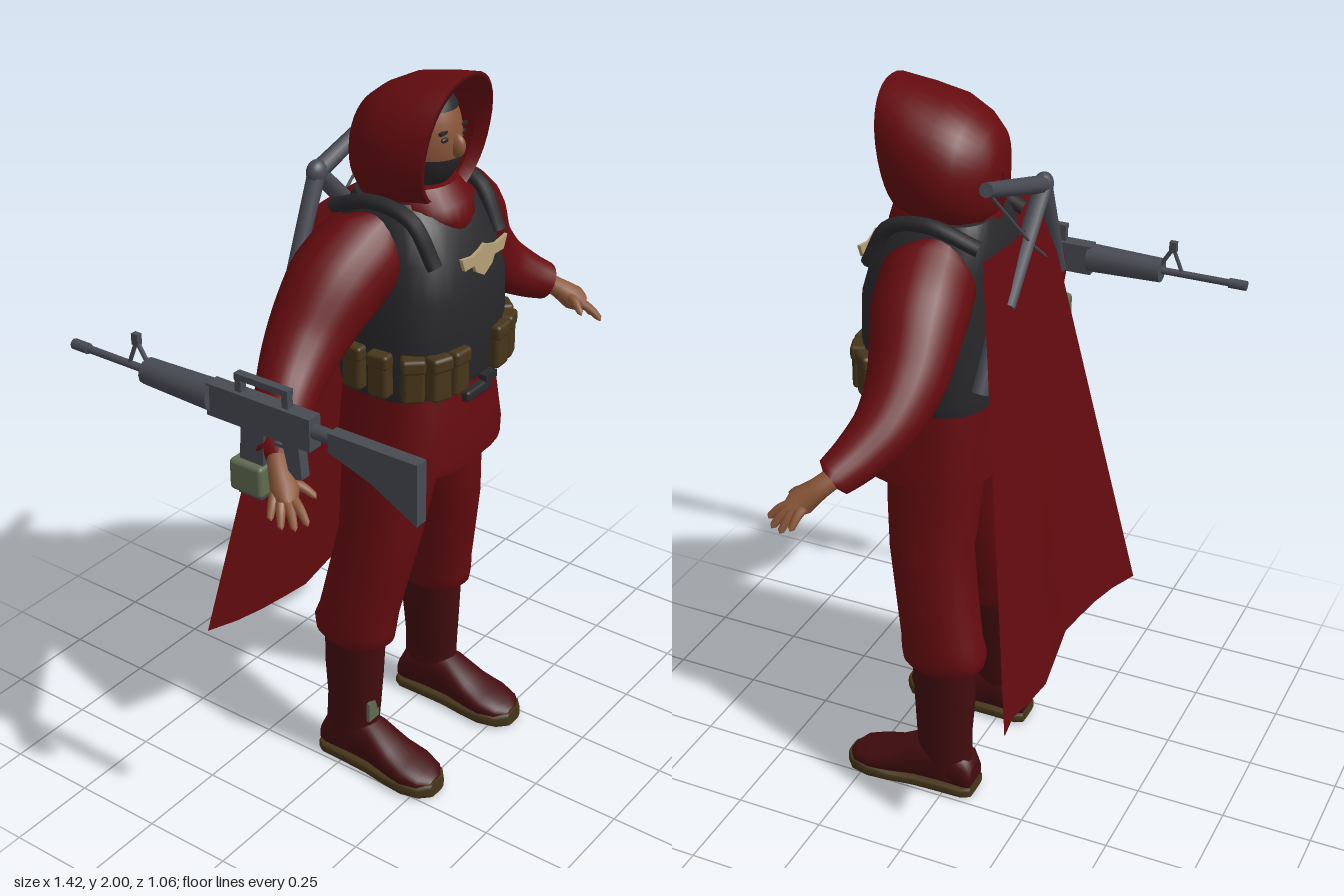
import * as THREE from 'three';
import { RoundedBoxGeometry } from 'three/addons/geometries/RoundedBoxGeometry.js';

const mat = (name, color, side = THREE.FrontSide) => {
  const m = new THREE.MeshStandardMaterial({ color, side });
  m.name = name;
  return m;
};
const red = mat('red cloth', 0x640b0f, THREE.DoubleSide);
const bootRed = mat('dark red leather', 0x420c0f);
const black = mat('black fabric', 0x28282b);
const steel = mat('gun steel', 0x484a53);
const skin = mat('skin', 0x8a5639);
const cream = mat('cream plate', 0xb5a078);
const brown = mat('brown canvas', 0x46351a);
const green = mat('olive green', 0x5f6b50);

// Smooth skin over stacked rounded rings [y, x0, x1, z0, z1]; p < 1 makes them boxier
function loft(rings, { n = 28, p = 0.8, caps = true } = {}) {
  const dot = ([y, a, b, c, d]) => [y, (a + b) / 2, (a + b) / 2, (c + d) / 2, (c + d) / 2];
  const last = rings[rings.length - 1];
  const all = caps ? [dot(rings[0]), rings[0], ...rings, last, dot(last)] : rings;
  const pos = [], idx = [];
  const pw = (v) => Math.sign(v) * Math.abs(v) ** p;
  all.forEach(([y, x0, x1, z0, z1], i) => {
    for (let j = 0; j < n; j++) {
      const a = (j / n) * Math.PI * 2;
      pos.push((x0 + x1) / 2 + pw(Math.cos(a)) * Math.abs(x1 - x0) / 2, y,
        (z0 + z1) / 2 + pw(Math.sin(a)) * Math.abs(z1 - z0) / 2);
      if (i === all.length - 1) continue;
      const q = i * n + j, r = i * n + (j + 1) % n;
      idx.push(q, q + n, r, q + n, r + n, r);
    }
  });
  const g = new THREE.BufferGeometry();
  g.setAttribute('position', new THREE.Float32BufferAttribute(pos, 3));
  g.setIndex(idx);
  g.computeVertexNormals();
  return g;
}

// Same along z: rings [z, x0, x1, yBottom, yTop]
const loftZ = (rings, opt) =>
  loft(rings.map(([z, a, b, lo, hi]) => [z, a, b, -hi, -lo]), opt).rotateX(Math.PI / 2);

// Tube through points [x, y, z, radius]
function limb(pts, seg = 16, sides = 16) {
  const curve = new THREE.CatmullRomCurve3(pts.map((q) => new THREE.Vector3(q[0], q[1], q[2])));
  const g = new THREE.TubeGeometry(curve, seg, 1, sides);
  const P = g.attributes.position, v = new THREE.Vector3();
  for (let i = 0; i <= seg; i++) {
    const c = curve.getPointAt(i / seg);
    const t = curve.getUtoTmapping(i / seg) * (pts.length - 1);
    const k = Math.min(Math.floor(t), pts.length - 2);
    const r = THREE.MathUtils.lerp(pts[k][3], pts[k + 1][3], t - k);
    for (let j = 0; j <= sides; j++) {
      const m = i * (sides + 1) + j;
      v.fromBufferAttribute(P, m).sub(c).multiplyScalar(r).add(c);
      P.setXYZ(m, v.x, v.y, v.z);
    }
  }
  return g;
}

const box = (w, h, d, x, y, z) => new THREE.BoxGeometry(w, h, d).translate(x, y, z);
const ball = (rx, ry, rz, x, y, z, t0 = 0, t1 = Math.PI) =>
  new THREE.SphereGeometry(1, 28, 18, 0, Math.PI * 2, t0, t1 - t0).scale(rx, ry, rz).translate(x, y, z);
// Straight bar between two points
function bar(a, b, r, sides = 8, r2 = r) {
  const A = new THREE.Vector3(...a), B = new THREE.Vector3(...b), d = B.clone().sub(A);
  const g = new THREE.CylinderGeometry(r2, r, d.length(), sides);
  g.applyQuaternion(new THREE.Quaternion().setFromUnitVectors(new THREE.Vector3(0, 1, 0), d.normalize()));
  return g.translate(...A.add(B).multiplyScalar(0.5).toArray());
}
// Outline in (z, y) given a thickness in x
function sidePlate(pts, w, x) {
  const s = new THREE.Shape(pts.map((q) => new THREE.Vector2(...q)));
  return new THREE.ExtrudeGeometry(s, { depth: w, bevelEnabled: false }).rotateY(-Math.PI / 2).translate(x + w / 2, 0, 0);
}

export function createModel() {
  const model = new THREE.Group();
  const add = (name, geo, material, parent = model) => {
    const m = new THREE.Mesh(geo, material);
    m.name = name;
    parent.add(m);
    return m;
  };
  const group = (name) => {
    const g = new THREE.Group();
    g.name = name;
    model.add(g);
    return g;
  };
  const sym = (y, w, z0, z1) => [y, -w, w, z0, z1];

  // Body: tunic, vest and cowl
  add('tunic', loft([sym(0.97, 0.222, -0.08, 0.272), sym(1.02, 0.22, -0.08, 0.275),
    sym(1.12, 0.205, -0.075, 0.265), sym(1.22, 0.195, -0.07, 0.25)], { p: 0.7 }), red);
  add('vest', loft([sym(1.18, 0.2, -0.075, 0.25), sym(1.22, 0.21, -0.08, 0.265), sym(1.35, 0.215, -0.08, 0.28),
    sym(1.46, 0.205, -0.085, 0.28), sym(1.55, 0.19, -0.085, 0.255), sym(1.63, 0.165, -0.08, 0.215),
    sym(1.68, 0.13, -0.06, 0.17)], { p: 0.7 }), black);
  add('cowl', loft([sym(1.6, 0.075, -0.05, 0.225), sym(1.63, 0.105, -0.06, 0.235), sym(1.67, 0.125, -0.065, 0.22),
    sym(1.71, 0.1, -0.05, 0.18)], { p: 0.9 }), red);

  // Pale winged chest plate
  const wing = [[0, 1.495], [0.035, 1.515], [0.045, 1.535], [0.085, 1.535], [0.1, 1.57], [0.05, 1.562], [0.02, 1.57], [0, 1.58]];
  const outline = [...wing, ...wing.slice(1, -1).reverse().map(([x, y]) => [-x, y])];
  add('chestPlate', new THREE.ExtrudeGeometry(new THREE.Shape(outline.map((q) => new THREE.Vector2(...q))),
    { depth: 0.009, bevelEnabled: false }).translate(0, 0, 0.277), cream);

  // Belt pouches and buckle
  const belt = group('belt');
  for (const s of [-1, 1]) {
    [[0.09, 0.27, 0.05], [0.15, 0.257, 0.35], [0.198, 0.213, 0.85], [0.218, 0.13, 1.5], [0.215, 0.05, 1.6]].forEach(([x, z, turn]) => {
      const g = new THREE.Group();
      g.name = 'pouch';
      g.position.set(s * x, 1.262, z);
      g.rotation.y = s * turn;
      add('pouchBody', new RoundedBoxGeometry(0.058, 0.115, 0.045, 2, 0.012), brown, g);
      add('pouchFlap', new RoundedBoxGeometry(0.062, 0.04, 0.052, 2, 0.01).translate(0, 0.045, 0), brown, g);
      belt.add(g);
    });
  }
  add('buckle', new RoundedBoxGeometry(0.11, 0.03, 0.03, 2, 0.008).translate(0.01, 1.165, 0.262), black, belt);
  add('buckleTab', box(0.05, 0.02, 0.03, 0.06, 1.185, 0.262), black, belt);

  // Head
  const head = group('head');
  add('face', ball(0.088, 0.14, 0.1, 0, 1.825, 0.1), skin, head);
  add('hair', ball(0.093, 0.146, 0.104, 0, 1.825, 0.097, 0, Math.PI * 0.33), black, head);
  add('mask', ball(0.092, 0.145, 0.107, 0, 1.828, 0.1, Math.PI * 0.6), black, head);
  add('nose', ball(0.016, 0.03, 0.024, 0, 1.812, 0.198), skin, head);
  for (const s of [-1, 1]) {
    add('eye', ball(0.014, 0.007, 0.006, s * 0.037, 1.835, 0.188), black, head);
    add('brow', box(0.036, 0.008, 0.008, s * 0.038, 1.853, 0.187).rotateZ(0), black, head);
    add('sideburn', box(0.008, 0.1, 0.03, s * 0.085, 1.83, 0.12), black, head);
  }

  // Hood, open at the front, its peak leaning forward
  const hood = loftZ([[-0.07, -0.005, 0.005, 1.77, 1.79], [-0.066, -0.06, 0.06, 1.7, 1.85], [-0.045, -0.11, 0.11, 1.66, 1.9],
    [0, -0.153, 0.153, 1.64, 1.935], [0.06, -0.174, 0.174, 1.635, 1.965], [0.13, -0.17, 0.17, 1.64, 1.985],
    [0.2, -0.145, 0.145, 1.655, 1.998], [0.205, -0.135, 0.135, 1.665, 1.985], [0.17, -0.125, 0.125, 1.67, 1.975]],
  { p: 0.92, n: 36, caps: false });
  const hp = hood.attributes.position;
  for (let i = 0; i < hp.count; i++) {
    if (hp.getZ(i) > 0.1) hp.setZ(i, hp.getZ(i) + (hp.getY(i) - 1.84) * 0.18);
  }
  hood.computeVertexNormals();
  add('hood', hood, red);

  for (const s of [-1, 1]) {
    const side = s > 0 ? 'left' : 'right';
    const mx = (r) => r.map(([y, a, b, c, d]) => [y, s * a, s * b, c, d]);

    // Arm and hand
    const arm = group(side + 'Arm');
    add('sleeve', limb([[0.1, 1.6, 0.05, 0.05], [0.18, 1.56, 0.045, 0.122], [0.27, 1.5, 0.03, 0.122], [0.37, 1.385, 0.015, 0.1],
      [0.46, 1.295, 0.03, 0.08], [0.54, 1.235, 0.07, 0.064], [0.605, 1.197, 0.11, 0.048], [0.61, 1.193, 0.113, 0.004]]
      .map(([x, y, z, r]) => [s * x, y, z, r]), 32, 20), red, arm);
    add('palm', limb([[0.59, 1.205, 0.1, 0.026], [0.62, 1.18, 0.13, 0.028], [0.645, 1.15, 0.165, 0.036], [0.662, 1.13, 0.185, 0.024],
      [0.666, 1.125, 0.19, 0.001]].map(([x, y, z, r]) => [s * x, y, z, r]), 14, 12), skin, arm);
    [[0.665, 1.145, 0.15, 0.702, 1.1, 0.165], [0.668, 1.137, 0.17, 0.7, 1.085, 0.195], [0.66, 1.132, 0.185, 0.687, 1.085, 0.225],
      [0.65, 1.135, 0.195, 0.665, 1.095, 0.245], [0.625, 1.165, 0.165, 0.6, 1.13, 0.22]].forEach(([a, b, c, d, e, f]) =>
      add('finger', limb([[s * a, b, c, 0.014], [s * (a + d) / 2, (b + e) / 2 + 0.006, (c + f) / 2, 0.012],
        [s * d, e, f, 0.008], [s * d, e - 0.004, f + 0.002, 0.001]], 8, 8), skin, arm));

    // Shoulder strap
    add(side + 'Strap', limb([[s * 0.14, 1.55, 0.235, 0.02], [s * 0.15, 1.66, 0.17, 0.02], [s * 0.155, 1.685, 0.06, 0.02],
      [s * 0.14, 1.64, -0.07, 0.02]], 16, 8), black);

    // Trouser leg and boot
    const leg = group(side + 'Leg');
    add('trouser', loft(mx([[0.405, 0.115, 0.25, -0.08, 0.11], [0.425, 0.1, 0.262, -0.1, 0.13], [0.46, 0.095, 0.265, -0.105, 0.135],
      [0.5, 0.09, 0.26, -0.09, 0.138], [0.6, 0.068, 0.253, -0.07, 0.155], [0.75, 0.038, 0.235, -0.045, 0.183],
      [0.9, 0.002, 0.215, -0.055, 0.2], [1, -0.01, 0.205, -0.06, 0.2]]), { p: 0.9 }), red, leg);
    add('bootShaft', loft(mx([[0.05, 0.14, 0.243, -0.075, 0.09], [0.12, 0.138, 0.243, -0.07, 0.09], [0.2, 0.132, 0.241, -0.068, 0.095],
      [0.3, 0.122, 0.246, -0.075, 0.1], [0.42, 0.115, 0.25, -0.075, 0.105]]), { p: 0.95 }), bootRed, leg);
    const foot = [[-0.08, 0.04, 0.09], [-0.06, 0.053, 0.13], [0.02, 0.054, 0.16], [0.09, 0.056, 0.15], [0.16, 0.066, 0.105],
      [0.22, 0.072, 0.083], [0.27, 0.058, 0.068], [0.295, 0.028, 0.05]];
    const mid = (z) => s * (0.188 + z * 0.02);
    add('bootFoot', loftZ(foot.map(([z, w, h]) => [z, mid(z) - w, mid(z) + w, 0.015, h]), { p: 0.85 }), bootRed, leg);
    add('sole', loftZ(foot.map(([z, w]) => [z * 1.02, mid(z) - w - 0.004, mid(z) + w + 0.004, 0, z > 0.2 ? 0.045 : 0.035]),
      { p: 0.5 }), brown, leg);
  }
  add('bootPatch', box(0.045, 0.06, 0.009, -0.205, 0.2, 0.09).rotateY(0), green);

  // Cape with a folded hem
  const cape = new THREE.PlaneGeometry(2, 1, 10, 8), cp = cape.attributes.position;
  const hem = [-0.31, -0.277, -0.257, -0.245, -0.235, -0.25, -0.265, -0.28, -0.272, -0.258, -0.27];
  for (let i = 0; i < cp.count; i++) {
    const u = cp.getX(i), v = 0.5 - cp.getY(i);
    const zTop = -0.105 - 0.015 * (1 - u * u);
    cp.setXYZ(i, u * (0.195 + 0.225 * v), 1.635 - 1.215 * v, zTop + (hem[Math.round((u + 1) * 5)] - zTop) * v);
  }
  cape.computeVertexNormals();
  add('cape', cape, red);

  // Folded bow slung on the back
  const bow = group('bow'), hub = [-0.14, 1.715, -0.12];
  const tips = [[0.2, 1.825, -0.115], [-0.27, 1.43, -0.115]];
  tips.forEach((t) => {
    add('bowLimb', bar(hub, t, 0.024, 8, 0.019), steel, bow);
    add('bowString', bar(t, [-0.03, 1.6, -0.135], 0.004, 6), steel, bow);
  });
  add('bowStock', bar(hub, [0.1, 1.48, -0.125], 0.024), steel, bow);
  add('bowButt', bar([0.1, 1.48, -0.115], [0.2, 1.28, -0.1], 0.022), steel, bow);
  add('bowHub', ball(0.032, 0.032, 0.025, ...hub), steel, bow);

  // Rifle, muzzle pointing back
  const rifle = group('rifle'), X = -0.61;
  const part = (name, geo, m = steel) => add(name, geo, m, rifle);
  part('rifleStock', sidePlate([[0.53, 1.335], [0.28, 1.335], [0.28, 1.285], [0.4, 1.245], [0.53, 1.175]], 0.036, X));
  part('bufferTube', bar([X, 1.315, 0.3], [X, 1.315, 0.2], 0.018, 12));
  part('receiver', box(0.042, 0.085, 0.31, X, 1.31, 0.075));
  part('carryHandle', box(0.022, 0.016, 0.16, X, 1.392, 0.08));
  for (const z of [0.01, 0.15]) part('handlePost', box(0.02, 0.045, 0.018, X, 1.37, z));
  part('grip', sidePlate([[0.19, 1.28], [0.14, 1.28], [0.165, 1.17], [0.2, 1.18]], 0.03, X));
  part('triggerGuard', box(0.012, 0.008, 0.06, X, 1.245, 0.12));
  part('magazine', sidePlate([[0.09, 1.28], [0.02, 1.28], [0.005, 1.08], [0.075, 1.08]], 0.03, X));
  part('ammoBox', new RoundedBoxGeometry(0.068, 0.085, 0.1, 2, 0.012).translate(X, 1.135, 0.04), green);
  part('handguard', bar([X, 1.313, -0.07], [X, 1.313, -0.285], 0.04, 12, 0.034));
  part('barrel', bar([X, 1.313, -0.28], [X, 1.313, -0.53], 0.01, 10));
  part('muzzle', bar([X, 1.313, -0.48], [X, 1.313, -0.53], 0.014, 10));
  for (const z of [-0.27, -0.345]) part('frontSightLeg', bar([X, 1.313, z], [X, 1.385, -0.315], 0.006, 6));
  part('frontSight', box(0.016, 0.03, 0.02, X, 1.39, -0.315));

  return model;
}
